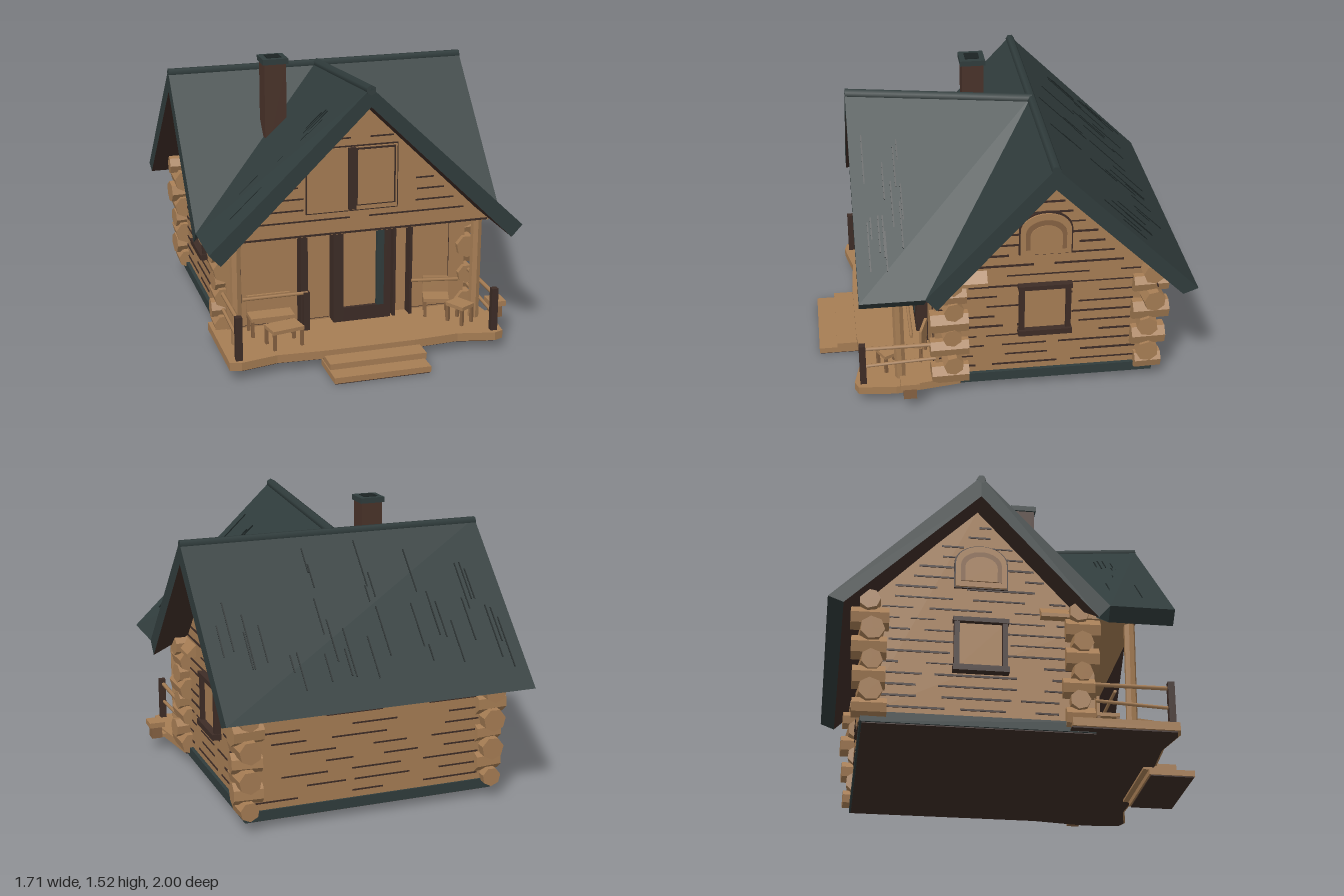
import * as THREE from 'three';

const mat = (name, color, side = THREE.FrontSide) => {
  const m = new THREE.MeshStandardMaterial({ color, side });
  m.name = name;
  return m;
};
const wood = mat('honey wood', 0xa67d54);
const shadeWood = mat('weathered wood', 0x866242);
const brown = mat('dark brown wood', 0x3d2c26);
const slate = mat('slate roof', 0x303c3c);
const seam = mat('roof seam', 0x1b2323);
const rust = mat('chimney brick', 0x4a332a);
const logWood = wood.clone();
logWood.name = 'hewn log wood';
logWood.flatShading = true;

let seed = 7;
const rand = (a = 0, b = 1) => {
  seed = (seed * 16807) % 2147483647;
  return a + (b - a) * (seed / 2147483647);
};
const V = (x, y, z) => new THREE.Vector3(x, y, z);

export function createModel() {
  const root = new THREE.Group();
  root.name = 'logCabin';
  const group = (name) => {
    const g = new THREE.Group();
    g.name = name;
    root.add(g);
    return g;
  };
  const add = (parent, name, geo, material) => {
    const m = new THREE.Mesh(geo, material);
    m.name = name;
    parent.add(m);
    return m;
  };
  // box given by its minimum and maximum on each axis
  const box = (parent, name, x0, x1, y0, y1, z0, z1, material) => {
    const m = add(parent, name, new THREE.BoxGeometry(x1 - x0, y1 - y0, z1 - z0), material);
    m.position.set((x0 + x1) / 2, (y0 + y1) / 2, (z0 + z1) / 2);
    return m;
  };
  const extrude = (pts, depth) => new THREE.ExtrudeGeometry(
    new THREE.Shape(pts.map(([x, y]) => new THREE.Vector2(x, y))), { depth, bevelEnabled: false });
  // round bar between two points
  const bar = (parent, name, a, b, r, material, sides = 6) => {
    const m = add(parent, name, new THREE.CylinderGeometry(r, r, a.distanceTo(b), sides), material);
    m.position.copy(a).lerp(b, 0.5);
    m.quaternion.setFromUnitVectors(V(0, 1, 0), b.clone().sub(a).normalize());
    return m;
  };
  // thin painted strip from a to b lying on a surface with normal n
  const strip = (parent, name, a, b, n, width, material) => {
    const d = b.clone().sub(a);
    const m = add(parent, name, new THREE.BoxGeometry(d.length(), width, 0.006), material);
    d.normalize();
    m.quaternion.setFromRotationMatrix(new THREE.Matrix4().makeBasis(d, n.clone().cross(d), n));
    m.position.copy(a).lerp(b, 0.5);
  };
  // roof slab: matching top and bottom outlines, dark underside
  const slab = (parent, name, top, bottom) => {
    const n = top.length, p = [];
    const tri = (...v) => v.forEach((q) => p.push(q.x, q.y, q.z));
    const up = top[1].clone().sub(top[0]).cross(top[2].clone().sub(top[0])).y > 0;
    if (!up) { top = [...top].reverse(); bottom = [...bottom].reverse(); }
    for (let i = 1; i < n - 1; i++) tri(top[0], top[i], top[i + 1]);
    for (let i = 0; i < n; i++) {
      const j = (i + 1) % n;
      tri(top[i], bottom[i], bottom[j], top[i], bottom[j], top[j]);
    }
    const split = p.length / 3;
    for (let i = 1; i < n - 1; i++) tri(bottom[0], bottom[i + 1], bottom[i]);
    const g = new THREE.BufferGeometry();
    g.setAttribute('position', new THREE.Float32BufferAttribute(p, 3));
    g.addGroup(0, split, 0);
    g.addGroup(split, p.length / 3 - split, 1);
    g.computeVertexNormals();
    add(parent, name, g, [slate, brown]);
  };

  // foundation and floor
  const base = group('foundation');
  box(base, 'plinth', -0.7, 0.7, 0.045, 0.1, -0.81, 0.38, slate);
  box(base, 'underside', -0.69, 0.69, 0.04, 0.046, -0.8, 0.38, brown);

  // cabin walls: gabled cross-section carried across x
  const walls = group('walls');
  const body = add(walls, 'cabinBody', extrude(
    [[0.8, 0.09], [0.8, 0.72], [0.23, 1.3], [-0.38, 0.66], [-0.38, 0.09]], 1.36), wood);
  body.rotation.y = Math.PI / 2;
  body.position.x = -0.68;
  const gable = add(walls, 'frontGable', extrude(
    [[-0.73, 0.67], [0.73, 0.67], [0.73, 0.69], [0, 1.41], [-0.73, 0.69]], 0.5), wood);
  gable.position.z = 0.1;

  // gaps between the courses
  for (let y = 0.14; y < 1.25; y += 0.062) {
    const zBack = y < 0.72 ? -0.78 : -0.21 - (1.3 - y) * 0.95;
    const zFront = y < 0.66 ? 0.36 : -0.25 + (1.3 - y) * 0.9;
    for (const s of [1, -1]) for (let z = zBack + rand(0, 0.1); z < zFront - 0.06;) {
      const end = Math.min(z + rand(0.1, 0.45), zFront);
      strip(walls, 'logGap', V(s * 0.681, y, z), V(s * 0.681, y, end), V(s, 0, 0), rand(0.006, 0.012), brown);
      z = end + rand(0.04, 0.2);
    }
    if (y < 0.7) for (let x = -0.62; x < 0.5; x += rand(0.35, 0.6))
      strip(walls, 'logGap', V(x, y, -0.801), V(x + rand(0.15, 0.33), y, -0.801), V(0, 0, -1), 0.008, brown);
    const half = (1.39 - y) * 0.92;
    if (y > 0.74) for (const s of [1, -1]) {
      const inner = y > 0.8 && y < 1.15 ? 0.3 : 0.02;
      if (half > inner + 0.06)
        strip(walls, 'gableGap', V(s * (inner + rand(0, 0.04)), y, 0.601), V(s * half, y, 0.601), V(0, 0, 1), 0.008, brown);
    }
  }
  strip(walls, 'gableSill', V(-0.72, 0.678, 0.602), V(0.72, 0.678, 0.602), V(0, 0, 1), 0.01, brown);

  // rough crossed log ends at the four corners
  const corners = group('cornerLogs');
  for (const sx of [1, -1]) for (const z of [0.3, -0.78]) for (let i = 0; i < 8; i++) {
    const r = rand(0.052, 0.066), y = 0.12 + i * 0.082;
    if (i % 2) bar(corners, 'logEndAcross', V(sx * 0.6, y, z), V(sx * rand(0.74, 0.775), y, z + rand(-0.02, 0.02)), r, logWood, 7);
    else bar(corners, 'logEndAlong', V(sx * 0.685, y, z - rand(0.07, 0.1)), V(sx * 0.69, y, z + rand(0.07, 0.11)), r, logWood, 7);
  }

  // roof: long ridge across x with a front cross gable
  const roof = group('roof');
  slab(roof, 'backSlope',
    [V(-0.85, 1.41, -0.23), V(0.85, 1.41, -0.23), V(0.85, 0.65, -1), V(-0.85, 0.65, -1)],
    [V(-0.85, 1.29, -0.23), V(0.85, 1.29, -0.23), V(0.85, 0.62, -0.92), V(-0.85, 0.62, -0.92)]);
  for (const s of [1, -1]) {
    slab(roof, 'frontSlope',
      [V(0, 1.41, -0.23), V(s * 0.85, 1.41, -0.23), V(s * 0.85, 0.69, 0.44)],
      [V(0, 1.29, -0.23), V(s * 0.85, 1.29, -0.23), V(s * 0.85, 0.62, 0.38)]);
    slab(roof, 'gableSlope',
      [V(0, 1.5, 0.78), V(0, 1.41, -0.23), V(s * 0.85, 0.69, 0.44), V(s * 0.85, 0.69, 0.78)],
      [V(0, 1.4, 0.78), V(0, 1.31, -0.23), V(s * 0.79, 0.625, 0.44), V(s * 0.79, 0.625, 0.78)]);
    // seams down the gable slopes
    for (let i = 0; i < 12; i++) {
      const z = rand(0.46, 0.75), a = rand(0.1, 0.6), b = a + rand(0.08, 0.22);
      const at = (x) => V(s * x, 1.5 - 0.953 * x - 0.089 * (0.78 - z) * (1 - x / 0.85), z);
      strip(roof, 'roofSeam', at(a), at(b), V(s * 0.69, 0.72, 0).normalize(), 0.007, seam);
    }
  }
  for (let i = 0; i < 34; i++) {
    const x = rand(-0.8, 0.8), a = rand(0.06, 0.7), b = Math.min(a + rand(0.08, 0.3), 0.95);
    const at = (t) => V(x, 1.41 - 0.76 * t, -0.23 - 0.77 * t);
    strip(roof, 'roofSeam', at(a), at(b), V(0, 0.77, -0.76).normalize(), 0.007, seam);
  }
  bar(roof, 'mainRidgeCap', V(-0.85, 1.395, -0.23), V(0.85, 1.395, -0.23), 0.025, slate);
  bar(roof, 'gableRidgeCap', V(0, 1.487, 0.78), V(0, 1.397, -0.23), 0.027, slate);

  // chimney
  const chimney = group('chimney');
  box(chimney, 'stack', -0.39, -0.27, 0.95, 1.49, 0, 0.12, rust);
  box(chimney, 'cap', -0.4, -0.26, 1.49, 1.52, -0.01, 0.13, slate);
  box(chimney, 'flue', -0.37, -0.29, 1.518, 1.524, 0.02, 0.1, seam);

  // side windows: framed square below, arched above
  const arch = (w, y0, y1, depth) => {
    const s = new THREE.Shape();
    s.moveTo(-w, y0).lineTo(w, y0).lineTo(w, y1 - w * 0.75);
    s.absellipse(0, y1 - w * 0.75, w, w * 0.75, 0, Math.PI, false);
    return new THREE.ExtrudeGeometry(s, { depth, bevelEnabled: false, curveSegments: 8 });
  };
  for (const s of [1, -1]) {
    const win = group('sideWindow');
    win.position.set(s * 0.68, 0, -0.21);
    win.rotation.y = s * Math.PI / 2;
    box(win, 'pane', -0.12, 0.12, 0.37, 0.62, -0.01, 0.012, wood);
    for (const e of [-1, 1]) box(win, 'jamb', e * 0.125 - 0.014, e * 0.125 + 0.014, 0.36, 0.64, 0, 0.035, brown);
    box(win, 'lintel', -0.145, 0.145, 0.62, 0.645, 0, 0.04, brown);
    box(win, 'sill', -0.145, 0.145, 0.34, 0.372, 0, 0.05, brown);
    add(win, 'archOutline', arch(0.142, 0.825, 1.078, 0.012), brown);
    add(win, 'archTrim', arch(0.134, 0.83, 1.07, 0.022), wood);
    add(win, 'archRecess', arch(0.108, 0.86, 1.035, 0.026), shadeWood);
    add(win, 'archPane', arch(0.085, 0.86, 1.005, 0.03), wood);
  }

  // gable window
  const gw = group('gableWindow');
  box(gw, 'outline', -0.297, 0.207, 0.795, 1.153, 0.6, 0.606, brown);
  box(gw, 'surround', -0.29, 0.2, 0.802, 1.146, 0.6, 0.612, wood);
  box(gw, 'rightOutline', -0.03, 0.19, 0.825, 1.14, 0.6, 0.616, brown);
  box(gw, 'rightPane', -0.018, 0.18, 0.832, 1.13, 0.6, 0.62, wood);
  box(gw, 'mullion', -0.07, -0.03, 0.81, 1.146, 0.6, 0.63, brown);

  // porch front: door and tall panels
  const front = group('entrance');
  for (const [x0, x1] of [[-0.6, -0.29], [-0.24, -0.11], [0.36, 0.58]]) {
    box(front, 'panelOutline', x0 - 0.006, x1 + 0.006, 0.11, 0.67, 0.38, 0.386, brown);
    box(front, 'tallPanel', x0, x1, 0.116, 0.664, 0.38, 0.392, wood);
  }
  for (const [x0, x1] of [[-0.285, -0.245], [0.24, 0.255], [0.335, 0.35], [-0.1, -0.045], [0.155, 0.225]])
    box(front, 'upright', x0, x1, 0.1, 0.67, 0.37, 0.45, brown);
  box(front, 'doorHead', -0.1, 0.225, 0.63, 0.67, 0.37, 0.45, brown);
  box(front, 'doorFoot', -0.1, 0.225, 0.1, 0.18, 0.37, 0.45, brown);
  box(front, 'doorPanel', -0.05, 0.16, 0.18, 0.64, 0.37, 0.43, wood);
  box(front, 'doorEdge', 0.145, 0.185, 0.18, 0.63, 0.43, 0.455, slate);

  // deck with a slightly wavy front edge, and steps
  const porch = group('porch');
  const deckPts = [[-0.76, -0.25], [0.72, -0.25], [0.77, -0.6], [0.75, -0.8], [0.7, -0.82], [0.5, -0.775],
    [0.25, -0.79], [-0.26, -0.79], [-0.5, -0.775], [-0.7, -0.815], [-0.76, -0.8]];
  const deck = add(porch, 'deck', extrude(deckPts.reverse(), 0.045), wood);
  deck.rotation.x = -Math.PI / 2;
  deck.position.y = 0.055;
  const under = add(porch, 'deckUnderside', extrude(deckPts.map(([x, y]) => [x * 0.985, y * 0.985]), 0.008), brown);
  under.rotation.x = -Math.PI / 2;
  under.position.y = 0.048;
  box(porch, 'upperStep', -0.25, 0.28, 0.035, 0.07, 0.72, 0.9, wood);
  box(porch, 'lowerStep', -0.255, 0.27, 0.006, 0.038, 0.75, 1, wood);
  box(porch, 'stepUnderside', -0.25, 0.265, 0, 0.007, 0.76, 0.995, brown);
  for (const s of [1, -1]) {
    bar(porch, 'porchPost', V(s * 0.67, 0.1, 0.57), V(s * 0.67, 0.68, 0.575), 0.03, logWood, 7);
    box(porch, 'railPost', s * 0.705 - 0.018, s * 0.705 + 0.018, 0.09, 0.34, 0.755, 0.79, brown);
    bar(porch, 'sideTopRail', V(s * 0.7, 0.31, 0.77), V(s * 0.7, 0.31, 0.38), 0.012, wood);
    bar(porch, 'sideLowRail', V(s * 0.7, 0.2, 0.77), V(s * 0.7, 0.22, 0.38), 0.01, wood);
  }
  box(porch, 'innerRailPost', -0.285, -0.25, 0.1, 0.32, 0.48, 0.51, brown);
  bar(porch, 'frontRail', V(-0.62, 0.315, 0.5), V(-0.26, 0.315, 0.5), 0.009, wood);
  bar(porch, 'shortRail', V(0.33, 0.32, 0.5), V(0.6, 0.3, 0.5), 0.009, wood);

  // simple porch seats and a table
  const seat = (name, x, z, w, turn, back) => {
    const g = group(name);
    g.position.set(x, 0.1, z);
    g.rotation.y = turn;
    box(g, 'top', -w, w, 0.09, 0.11, -0.06, 0.06, wood);
    if (back) box(g, 'back', -w, w, 0.11, 0.2, -0.06, -0.045, wood);
    for (const a of [-1, 1]) for (const b of [-1, 1])
      box(g, 'leg', a * (w - 0.01) - 0.008, a * (w - 0.01) + 0.008, 0, 0.09, b * 0.05 - 0.008, b * 0.05 + 0.008, shadeWood);
  };
  seat('bench', -0.46, 0.47, 0.12, 0, true);
  seat('porchTable', -0.43, 0.65, 0.09, 0.2, false);
  seat('chair', 0.48, 0.48, 0.07, -0.3, true);
  seat('stool', 0.57, 0.62, 0.05, 0.5, false);

  // small stand beside the deck
  const stand = group('sideStand');
  box(stand, 'standTop', 0.77, 0.86, 0.14, 0.17, 0.48, 0.58, wood);
  box(stand, 'standBody', 0.785, 0.845, 0.07, 0.14, 0.495, 0.565, shadeWood);
  box(stand, 'standBracket', 0.74, 0.8, 0.07, 0.09, 0.5, 0.56, wood);
  return root;
}
